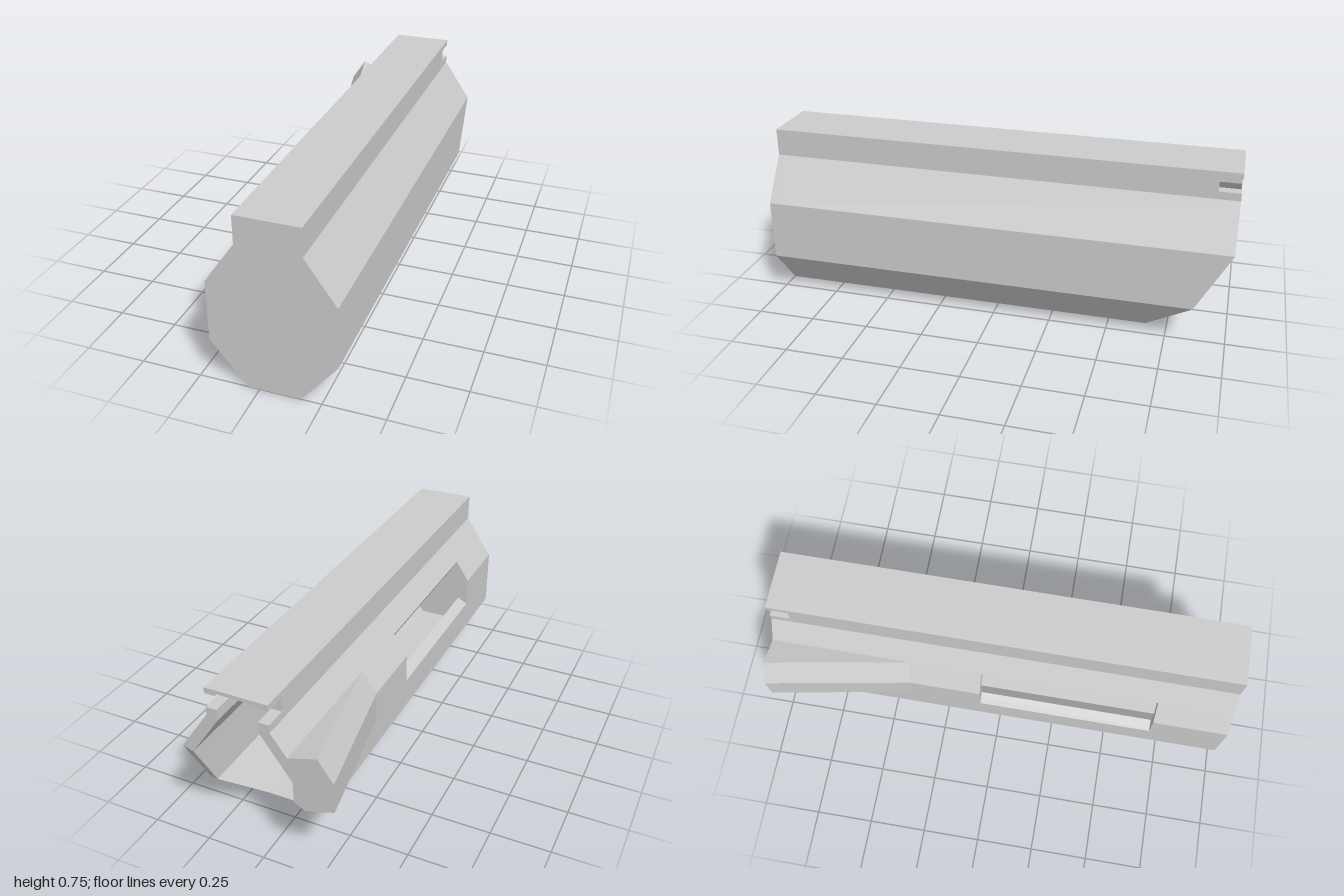
import * as THREE from 'three';

const material = new THREE.MeshStandardMaterial({ color: 0xcccccc, flatShading: true });
const FRONT = 0.96; // rear side of the front plate

// Places a 2D chain in depth; z is a number or a rule of height
const place = (chain, z) =>
  chain.map(([x, y]) => new THREE.Vector3(x, y, typeof z === 'function' ? z(y) : z));

// Mirrors points across the middle plane of the shell
const mirror = (chain) => chain.map(([x, y]) => [0.119 - x, y]).reverse();

// Solid wall between an outer and an inner chain (counterclockwise from the front), front to rear
function wall(name, outerF, innerF, outerR, innerR) {
  const pos = [];
  const quad = (a, b, c, d) => [a, b, c, a, c, d].forEach((p) => pos.push(p.x, p.y, p.z));
  const n = outerF.length - 1;
  for (let i = 0; i < n; i++) {
    const j = i + 1;
    quad(outerF[i], outerR[i], outerR[j], outerF[j]);
    quad(innerF[i], innerF[j], innerR[j], innerR[i]);
    quad(outerF[i], outerF[j], innerF[j], innerF[i]);
    quad(outerR[i], innerR[i], innerR[j], outerR[j]);
  }
  quad(outerF[0], innerF[0], innerR[0], outerR[0]);
  quad(outerF[n], outerR[n], innerR[n], innerF[n]);
  const geometry = new THREE.BufferGeometry();
  geometry.setAttribute('position', new THREE.Float32BufferAttribute(pos, 3));
  geometry.computeVertexNormals();
  const mesh = new THREE.Mesh(geometry, material);
  mesh.name = name;
  return mesh;
}

const straightWall = (name, outer, inner, front, rear) =>
  wall(name, place(outer, front), place(inner, front), place(outer, rear), place(inner, rear));

export function createModel() {
  const group = new THREE.Group();
  group.name = 'shell';

  // Slanted cut under the open rear end
  const slantedRear = (y) => Math.max(-1, -0.66 - y * 1.07);

  // Band of the right wall holding the window and the flare
  const bandOuter = [[-0.135, 0.537], [-0.197, 0.445], [-0.197, 0.316]];
  const bandInner = [[-0.11, 0.492], [-0.152, 0.431], [-0.152, 0.34]];

  // Lower body: from under the band, round the bottom, up the left side
  const leftOuter = [[0.167, 0], [0.316, 0.185], [0.316, 0.445], [0.19, 0.627], [0.19, 0.66]];
  const leftInner = [[0.145, 0.045], [0.271, 0.201], [0.271, 0.431], [0.145, 0.613], [0.145, 0.66]];
  group.add(straightWall('body',
    [bandOuter[2], ...mirror(leftOuter.slice(0, 2)), ...leftOuter],
    [bandInner[2], ...mirror(leftInner.slice(0, 2)), ...leftInner],
    FRONT, slantedRear));

  // Right shoulder above the band
  group.add(straightWall('rightShoulder',
    [...mirror(leftOuter.slice(3)), bandOuter[0]],
    [...mirror(leftInner.slice(3)), bandInner[0]], FRONT, -1));

  // Band in front of and behind the window
  group.add(straightWall('wallBeforeWindow', bandOuter, bandInner, FRONT, 0.68));
  group.add(straightWall('wallBehindWindow', bandOuter, bandInner, -0.08, -1));

  // Neck walls, shortened at the rear to leave the slot
  const neckOuter = [[0.19, 0.66], [0.19, 0.72]];
  const neckInner = [[0.145, 0.66], [0.145, 0.72]];
  group.add(straightWall('leftNeck', neckOuter, neckInner, FRONT, -0.91));
  group.add(straightWall('rightNeck', mirror(neckOuter), mirror(neckInner), FRONT, -0.91));

  // Thin top plate with small lips
  const plateOuter = [[0.19, 0.72], [0.19, 0.745]];
  const plateInner = [[0.145, 0.72], [0.145, 0.73]];
  group.add(straightWall('topPlate',
    [...plateOuter, ...mirror(plateOuter)], [...plateInner, ...mirror(plateInner)], FRONT, -1));

  // Wedge flaring out from the band towards the rear
  const flared = bandOuter.map(([x, y]) => [x - 0.121, y + 0.037]);
  group.add(wall('flare', place(bandOuter, -0.39), place(bandOuter, -0.39),
    place(flared, -1), place(bandOuter, -1)));

  // Closed front plate
  const half = [...leftOuter.slice(0, 4), [0.19, 0.745]];
  const outline = [...half, ...mirror(half)].map(([x, y]) => new THREE.Vector2(x, y));
  const front = new THREE.Mesh(
    new THREE.ExtrudeGeometry(new THREE.Shape(outline), { depth: 1 - FRONT, bevelEnabled: false }),
    material);
  front.position.z = FRONT;
  front.name = 'frontPlate';
  group.add(front);

  return group;
}
